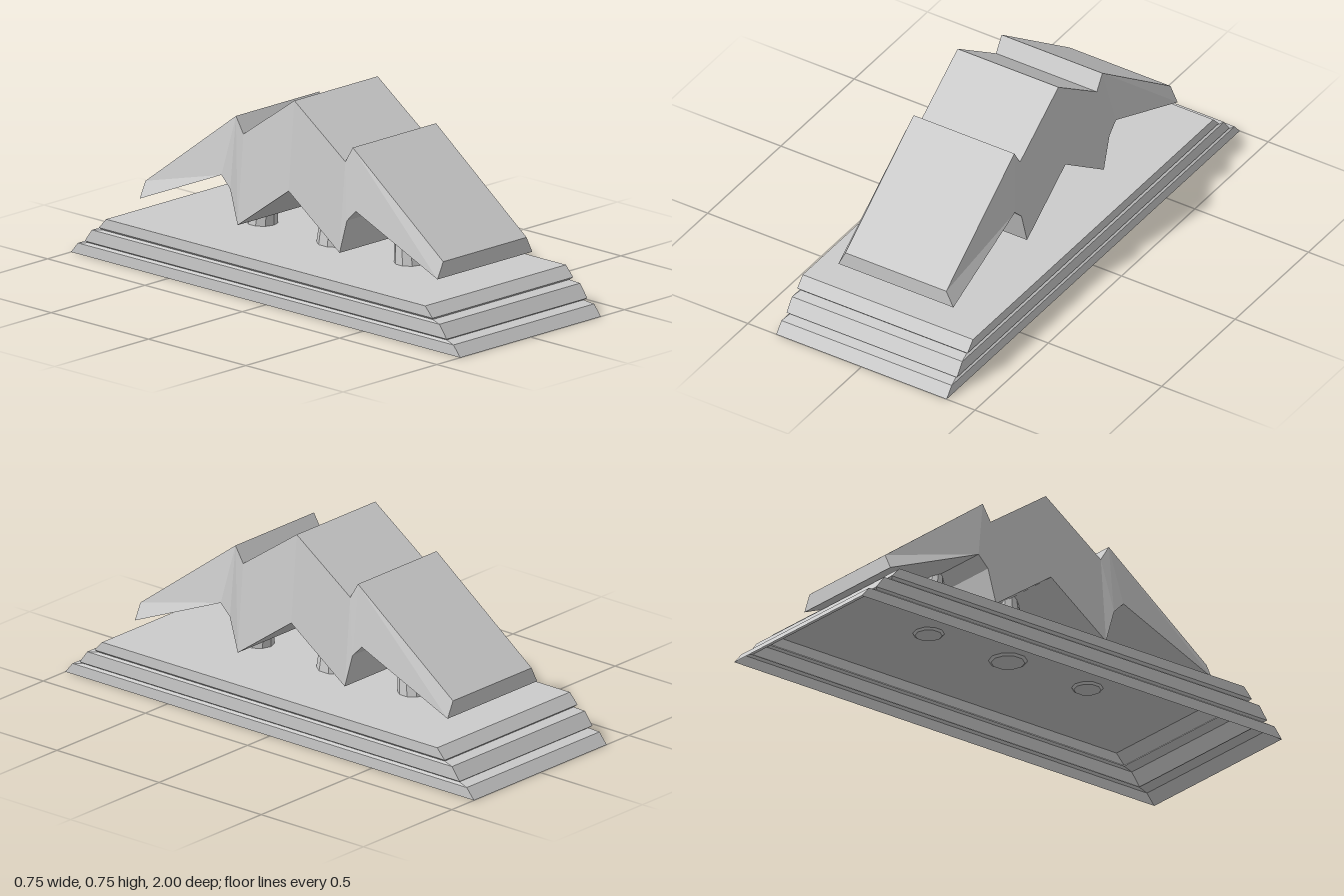
import * as THREE from 'three';

const material = new THREE.MeshStandardMaterial({ color: 0xcccccc, flatShading: true, side: THREE.DoubleSide });

// Skin a run of equal-length loops (counter-clockwise seen from the last loop's end)
function loft(name, loops, capStart, capEnd) {
  const pos = [];
  const tri = (...pts) => pts.forEach((p) => pos.push(...p));
  const n = loops[0].length;
  for (let s = 0; s < loops.length - 1; s++) {
    const a = loops[s], b = loops[s + 1];
    for (let i = 0; i < n; i++) {
      const j = (i + 1) % n;
      tri(a[i], a[j], b[j]);
      tri(a[i], b[j], b[i]);
    }
  }
  const first = loops[0], last = loops[loops.length - 1];
  for (let i = 1; i < n - 1; i++) {
    if (capStart) tri(first[0], first[i + 1], first[i]);
    if (capEnd) tri(last[0], last[i], last[i + 1]);
  }
  const geometry = new THREE.BufferGeometry();
  geometry.setAttribute('position', new THREE.Float32BufferAttribute(pos, 3));
  geometry.computeVertexNormals();
  const mesh = new THREE.Mesh(geometry, material);
  mesh.name = name;
  return mesh;
}

// Hollow stepped plinth, open underneath: [y, half width, half length]
function makeBase() {
  const steps = [
    [0, 0.375, 1], [0.042, 0.375, 0.965], [0.05, 0.365, 0.92], [0.057, 0.375, 0.93],
    [0.107, 0.375, 0.893], [0.114, 0.365, 0.848], [0.123, 0.375, 0.857], [0.163, 0.375, 0.82],
  ];
  const loops = steps.map(([y, w, l]) => [[-w, y, l], [w, y, l], [w, y, -l], [-w, y, -l]]);
  return loft('base', loops, false, true);
}

// Ten-sided tapering post, leaning from z0 at the foot to z1 at the top
function makePost(name, z0, z1, r0, r1) {
  const rings = [[0.155, z0, r0 * 0.86], [0.163, z0, r0], [0.42, z1, r1]];
  const loops = rings.map(([y, z, r]) => Array.from({ length: 10 }, (_, k) => {
    const a = (k * Math.PI) / 5;
    return [r * Math.sin(a), y, z + r * Math.cos(a)];
  }));
  return loft(name, loops, true, true);
}

// Zigzag canopy: narrow folded top over a wider folded underside
function makeCanopy() {
  const topHalf = 0.222, bottomHalf = 0.253;
  // [top z, top y, bottom z, bottom y] from the front end to the middle
  const half = [
    [0.765, 0.29, 0.765, 0.228],
    [0.3, 0.635, 0.345, 0.405],
    [0.3, 0.635, 0.3, 0.36],
    [0.262, 0.573, 0.262, 0.228],
    [0, 0.755, 0, 0.413],
  ];
  const back = half.slice(0, -1).map(([tz, ty, bz, by]) => [-tz, ty, -bz, by]);
  const stations = [...back, ...half.slice().reverse()];
  const loops = stations.map(([tz, ty, bz, by]) => [
    [-bottomHalf, by, bz], [bottomHalf, by, bz], [topHalf, ty, tz], [-topHalf, ty, tz],
  ]);
  return loft('canopy', loops, true, true);
}

export function createModel() {
  const model = new THREE.Group();
  model.name = 'foldedCanopyOnPlinth';
  model.add(
    makeBase(),
    makeCanopy(),
    makePost('middlePost', 0, 0, 0.073, 0.036),
    makePost('frontPost', 0.378, 0.345, 0.059, 0.03),
    makePost('backPost', -0.378, -0.345, 0.059, 0.03),
  );
  return model;
}
